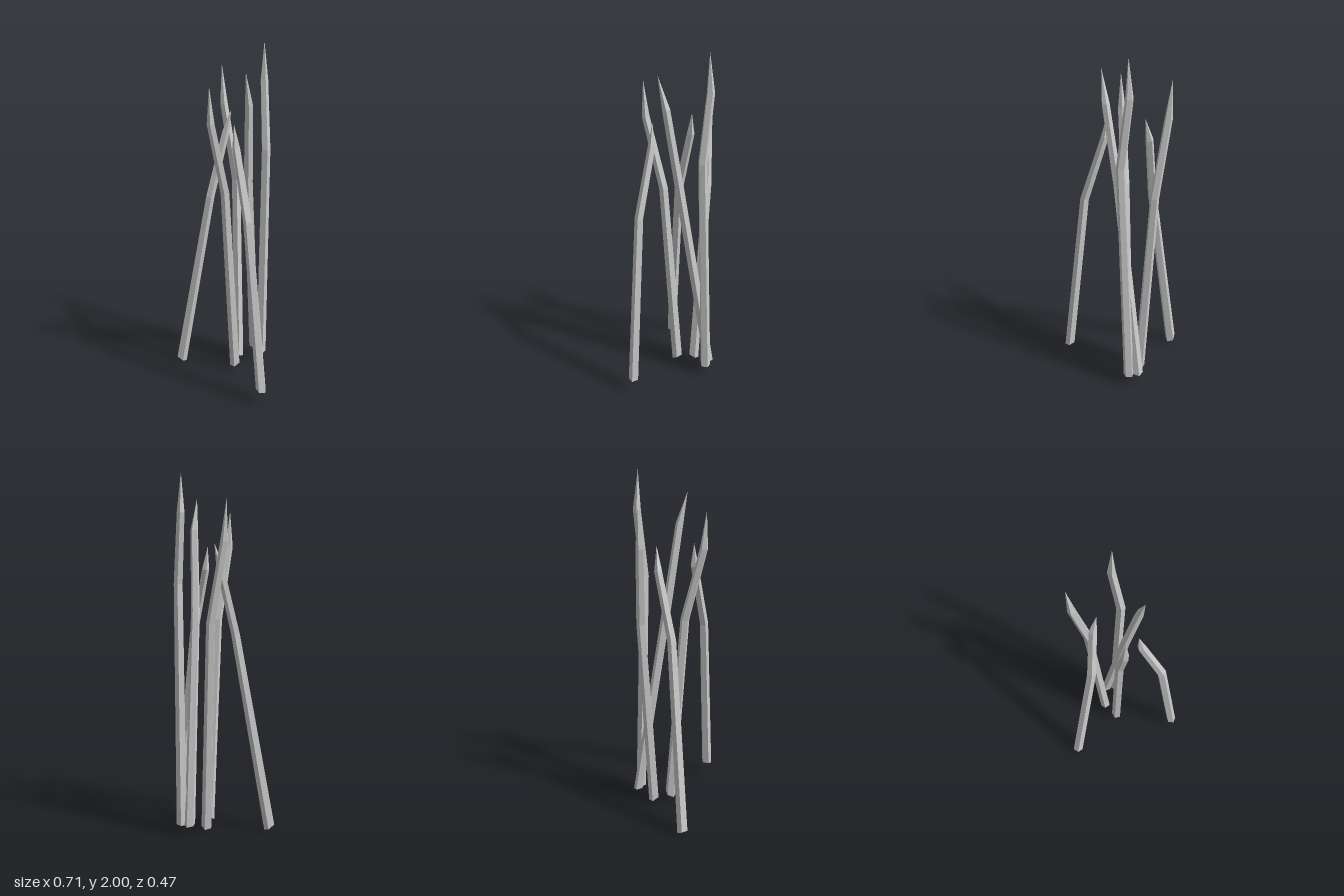
import * as THREE from 'three';

const SIDES = 5;
const RADII = [0.031, 0.026, 0.0225];

// Each stake: base, knee, shoulder and tip points, the facing of one edge (degrees),
// and the slope of the rough cut at the foot along x and z.
const STAKES = [
  { name: 'leftStake', turn: -12, cut: [-0.3, 0],
    path: [[0.323, 0.09, 0.078], [0.207, 1.1, 0.091], [0.088, 1.48, 0.079], [0.073, 1.61, 0.084]] },
  { name: 'rightBackStake', turn: 27, cut: [0.35, 0.4],
    path: [[-0.111, 0.04, -0.084], [-0.178, 1.2, -0.116], [-0.244, 1.64, -0.08], [-0.26, 1.86, -0.08]] },
  { name: 'rightFrontStake', turn: 164, cut: [-0.4, 0.55],
    path: [[-0.325, 0.023, 0.206], [-0.178, 1.13, 0.07], [-0.15, 1.5, -0.022], [-0.125, 1.63, -0.044]] },
  { name: 'middleStake', turn: 262, cut: [0, -0.5],
    path: [[-0.042, 0.05, -0.006], [-0.022, 1.2, 0.075], [-0.006, 1.61, 0.176], [-0.002, 1.81, 0.187]] },
  { name: 'crossingStake', turn: 256, cut: [0, 0.3],
    path: [[-0.095, 0.07, -0.197], [0.022, 1.25, -0.053], [0.083, 1.7, -0.008], [0.103, 1.88, 0.03]] },
  { name: 'tallStake', turn: 16, cut: [0, 0],
    path: [[-0.04, 0.06, -0.208], [0.007, 1.41, -0.187], [-0.036, 1.79, -0.203], [-0.03, 2, -0.197]] },
];

// Five-sided ring across the stake at path point k
function makeRing(points, k, turn, cut) {
  const t = new THREE.Vector3();
  if (k > 0) t.add(points[k].clone().sub(points[k - 1]).normalize());
  t.add(points[k + 1].clone().sub(points[k]).normalize()).normalize();
  const u = new THREE.Vector3(1, 0, 0).addScaledVector(t, -t.x).normalize();
  const v = new THREE.Vector3().crossVectors(u, t);
  const ring = [];
  for (let i = 0; i < SIDES; i++) {
    const a = THREE.MathUtils.degToRad(turn) + (i / SIDES) * Math.PI * 2;
    const offset = u.clone().multiplyScalar(Math.cos(a) * RADII[k])
      .addScaledVector(v, Math.sin(a) * RADII[k]);
    if (k === 0) offset.y = cut[0] * offset.x + cut[1] * offset.z;
    ring.push(offset.add(points[k]));
  }
  return ring;
}

function makeStakeGeometry({ path, turn, cut }) {
  const points = path.map((p) => new THREE.Vector3(...p));
  const tip = points[3];
  const rings = RADII.map((_, k) => makeRing(points, k, turn, cut));
  const corners = [];
  for (let i = 0; i < SIDES; i++) {
    const n = (i + 1) % SIDES;
    // foot cap
    corners.push(points[0], rings[0][i], rings[0][n]);
    // shaft sides
    for (let k = 0; k < rings.length - 1; k++) {
      const low = rings[k], high = rings[k + 1];
      corners.push(low[i], high[i], low[n], high[i], high[n], low[n]);
    }
    // sharpened point
    corners.push(rings[2][i], tip, rings[2][n]);
  }
  const geometry = new THREE.BufferGeometry().setFromPoints(corners);
  geometry.computeVertexNormals();
  return geometry;
}

export function createModel() {
  const group = new THREE.Group();
  group.name = 'stakes';
  const material = new THREE.MeshStandardMaterial({ color: 0xcccccc, flatShading: true });
  for (const stake of STAKES) {
    const mesh = new THREE.Mesh(makeStakeGeometry(stake), material);
    mesh.name = stake.name;
    group.add(mesh);
  }
  return group;
}
